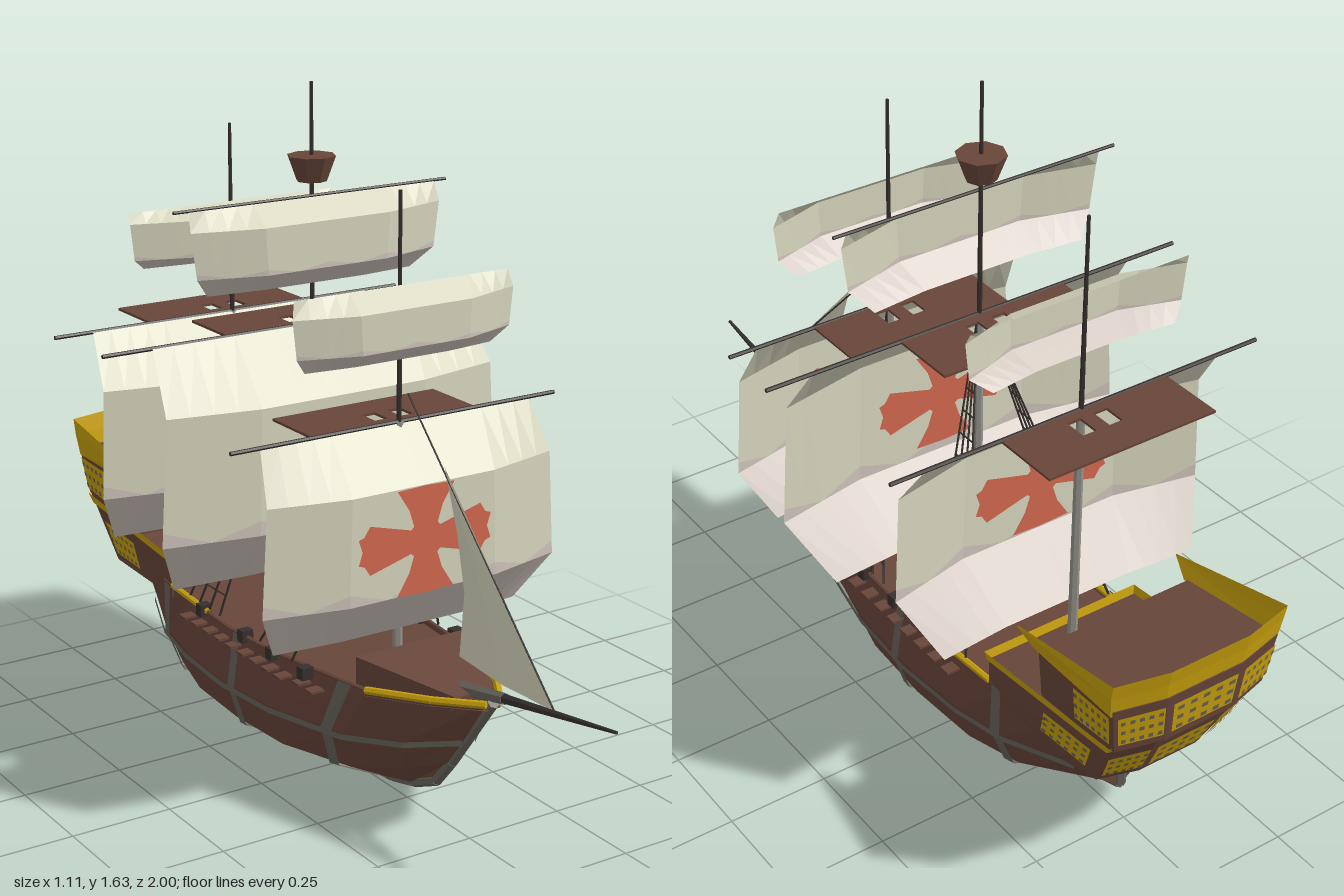
import * as THREE from 'three';

const mat = (name, color) => {
  const m = new THREE.MeshStandardMaterial({ color, side: THREE.DoubleSide, flatShading: true });
  m.name = name;
  return m;
};

export function createModel() {
  const ship = new THREE.Group();
  ship.name = 'sailingShip';
  const wood = mat('brown wood', 0x68463a), gold = mat('gold trim', 0xc9a10c);
  const canvas = mat('sail canvas', 0xd6d5bd), stain = mat('weathered canvas', 0xcec3bb);
  const red = mat('red emblem', 0xd2674e), iron = mat('grey banding', 0x68645c);
  const rope = mat('dark rope', 0x36302d), spar = mat('pale mast', 0x96938a);

  const add = (geo, m, name, parent = ship) => {
    const mesh = new THREE.Mesh(geo, m);
    mesh.name = name;
    parent.add(mesh);
    return mesh;
  };
  // Flat-shaded surface through rows of points
  const grid = rows => {
    const p = [];
    for (let i = 0; i < rows.length - 1; i++) for (let j = 0; j < rows[i].length - 1; j++) {
      const a = rows[i][j], b = rows[i][j + 1], c = rows[i + 1][j + 1], d = rows[i + 1][j];
      p.push(...a, ...b, ...c, ...a, ...c, ...d);
    }
    const g = new THREE.BufferGeometry();
    g.setAttribute('position', new THREE.Float32BufferAttribute(p, 3));
    g.computeVertexNormals();
    return g;
  };
  const lerp = (a, b, t) => a.map((v, i) => v + (b[i] - v) * t);
  const flip = rows => rows.map(r => r.map(([x, y, z]) => [-x, y, z]).reverse());
  const addBoth = (rows, m, name) => {
    add(grid(rows), m, name + 'Left');
    add(grid(flip(rows)), m, name + 'Right');
  };
  const rod = (a, b, r0, r1, m, name, parent = ship) => {
    const A = new THREE.Vector3(...a), d = new THREE.Vector3(...b).sub(A);
    const mesh = add(new THREE.CylinderGeometry(r1, r0, d.length(), 6), m, name, parent);
    mesh.position.copy(A).addScaledVector(d, 0.5);
    mesh.quaternion.setFromUnitVectors(new THREE.Vector3(0, 1, 0), d.normalize());
  };

  // Hull lines from keel to rail, each running bow to stern as [x, y, z]
  const lines = [
    [[.008, .09, .37], [.01, .05, .28], [.012, .028, .19], [.012, .014, 0], [.012, .011, -.2], [.012, .016, -.4], [.012, .03, -.55], [.01, .09, -.73]],
    [[.01, .16, .43], [.075, .125, .34], [.14, .1, .22], [.19, .085, 0], [.2, .083, -.2], [.19, .085, -.4], [.155, .095, -.55], [.06, .13, -.73]],
    [[.012, .24, .49], [.105, .22, .39], [.18, .205, .25], [.225, .19, 0], [.235, .185, -.2], [.225, .19, -.4], [.2, .2, -.55], [.13, .215, -.73]],
    [[.02, .36, .58], [.09, .348, .47], [.165, .335, .32], [.21, .325, 0], [.215, .32, -.2], [.21, .325, -.4], [.2, .33, -.55], [.17, .34, -.73]],
  ];
  const rail = lines[3];
  addBoth(lines, wood, 'hull');
  add(grid(lines.map(l => [l[7], [-l[7][0], l[7][1], l[7][2]]])), wood, 'sternWall');
  const deck = rail.map(([x, y, z]) => [x, y - .015, z]);
  add(grid([deck, deck.map(([x, y, z]) => [-x, y, z])]), wood, 'deck');

  // Keel, stem and grey bands over the planking
  const centre = [...lines.map(l => l[0]).reverse(), ...lines[0].slice(1), lines[1][7], lines[2][7]];
  for (let i = 0; i < centre.length - 1; i++) {
    const [a, b] = [centre[i], centre[i + 1]].map(([, y, z]) => [0, y, z]);
    rod(a, b, .014, .014, iron, 'keel');
  }
  const hullAt = (row, s) => {
    const j = Math.min(6, Math.floor(s));
    const p = lerp(lines[row][j], lines[row][j + 1], s - j);
    return [p[0] + .006, p[1] - (row < 2 ? .004 : 0), p[2]];
  };
  for (const s of [2.2, 3.8, 5.85]) {
    const w = s > 5 ? .1 : .07;
    addBoth([0, 1, 2, 3].map(r => [hullAt(r, s - w), hullAt(r, s + w)]), iron, 'hullRib');
  }
  addBoth([-.014, 0].map(dy => lines[2].map(([x, y, z]) => [x + .006, y + dy, z])), iron, 'wale');

  // Gold rails, port lids and rigging blocks, mirrored
  for (const s of [1, -1]) {
    const side = ([x, y, z]) => [s * x, y, z];
    rod(side(rail[0]), side(rail[1]), .009, .009, gold, 'bowRail');
    rod(side(rail[1]), side(rail[2]), .009, .009, gold, 'bowRail');
    rod([s * .212, .325, -.31], [s * .206, .332, -.5], .008, .008, gold, 'waistRail');
    for (let i = 0; i < 4; i++) rod(side(rail[i + 2]), side(rail[i + 3]), .006, .006, wood, 'rail');
    for (let i = 0; i < 11; i++) {
      const z = .18 - i * .056;
      add(new THREE.BoxGeometry(.035, .006, .03), wood, 'portLid').position.set(s * (z > .1 ? .213 : .23), .295, z);
    }
    for (const z of [.14, .0, -.13, -.33])
      add(new THREE.BoxGeometry(.03, .03, .025), rope, 'riggingBlock').position.set(s * .213, .325, z);
  }

  // Stern castle from stacked plan outlines
  const ring = (wf, zf, yf, wb, zb, yb) => [[wf, yf, zf], [wb, yb, zb + .03], [wb * .45, yb, zb],
    [-wb * .45, yb, zb], [-wb, yb, zb + .03], [-wf, yf, zf]];
  const closed = rings => grid(rings.map(r => [...r, r[0]]));
  const cap = r => grid([r.slice(0, r.length / 2), r.slice(r.length / 2).reverse()]);
  const low = [ring(.17, -.55, .2, .1, -.745, .215), ring(.207, -.5, .3, .175, -.885, .285), ring(.207, -.5, .395, .205, -.955, .435)];
  const high = [ring(.195, -.68, .4, .205, -.975, .445), ring(.208, -.68, .55, .225, -.99, .575)];
  add(closed(low), wood, 'quarterdeckWalls');
  add(cap(low[2]), wood, 'quarterdeck');
  add(closed(high), wood, 'sternCabin');
  add(cap(high[1]), wood, 'cabinDeck');
  add(closed([ring(.21, -.495, .39, .208, -.955, .43), ring(.214, -.49, .412, .215, -.97, .455)]), gold, 'quarterTrim');
  const crown = [ring(.21, -.665, .54, .227, -.985, .56), ring(.222, -.62, .575, .235, -.992, .615), ring(.222, -.62, .58, .236, -1, .655)];
  add(grid(crown), gold, 'sternRail');

  // Gold window galleries with dark panes on the castle faces
  const gallery = (a, b, c, d, u0, u1, v0, v1, n) => {
    const nrm = new THREE.Vector3().subVectors(new THREE.Vector3(...b), new THREE.Vector3(...a))
      .cross(new THREE.Vector3().subVectors(new THREE.Vector3(...d), new THREE.Vector3(...a))).normalize().toArray();
    const at = (u, v, o) => lerp(lerp(a, b, u), lerp(d, c, u), v).map((x, i) => x + nrm[i] * o);
    const patch = (p, q, r, t, o, m, name) =>
      add(grid([r, t].map(v => [0, .25, .5, .75, 1].map(k => at(p + (q - p) * k, v, o)))), m, name);
    patch(u0, u1, v0, v1, .006, gold, 'windowGallery');
    const du = (u1 - u0) / n, dv = (v1 - v0) / 3;
    for (let i = 0; i < n; i++) for (let k = 0; k < 3; k++)
      patch(u0 + du * (i + .25), u0 + du * (i + .75), v0 + dv * (k + .3), v0 + dv * (k + .7), .009, iron, 'windowPane');
  };
  for (const [r0, r1, u0, u1, v0, v1] of [[low[1], low[2], .5, .9, .2, .75], [high[0], high[1], .5, .97, .2, .85]]) {
    for (let e = 0; e < 5; e++) {
      const onSide = e === 0 || e === 4;
      const [p, q] = e === 0 ? [u0, u1] : e === 4 ? [1 - u1, 1 - u0] : [.06, .94];
      gallery(r0[e], r0[e + 1], r1[e + 1], r1[e], p, q, v0, v1, onSide ? 6 : 5);
    }
  }

  // Forecastle wedge and bowsprit
  const fc = [[[.06, .33, .51], [.165, .31, .28], [-.165, .31, .28], [-.06, .33, .51]],
    [[.05, .358, .51], [.165, .402, .28], [-.165, .402, .28], [-.05, .358, .51]]];
  add(closed(fc), wood, 'forecastle');
  add(cap(fc[1]), wood, 'forecastleDeck');
  rod([0, .345, .42], [0, .385, .62], .018, .014, iron, 'bowspritBase');
  rod([0, .385, .62], [0, .45, 1], .012, .004, rope, 'bowsprit');

  // Cross emblem: one arm pair outline with flared, notched ends
  const emblemShape = () => {
    const q = [[.032, .035], [.075, .128], [0, .128]];
    const arm = [[.04, .028], [.15, .058], [.165, .035], [.18, .03], [.17, 0]];
    const s = new THREE.Shape();
    const quarter = [[0, .128], [.077, .125], [.045, .075], q[0], ...arm];
    const right = [...quarter, ...quarter.slice(0, -1).reverse().map(([x, y]) => [x, -y])];
    const all = [...right, ...right.slice(1, -1).reverse().map(([x, y]) => [-x, y])];
    s.setFromPoints(all.map(p => new THREE.Vector2(...p)));
    return s;
  };

  // Square sail; rows top to bottom as [y, z, half width]
  const sail = (name, rows, emblem, parent) => {
    const drop = [0, .045, .045, .015], us = Array.from({ length: 17 }, (_, i) => i / 8 - 1);
    const pts = rows.map(([y, z, w], i) => us.map(u => [u * w, y, z - drop[i] * Math.max(0, Math.abs(u) * 2 - 1)]));
    const wave = us.map((u, j) => lerp(pts[2][j], pts[1][j], .06 + .06 * Math.cos(u * Math.PI * 4)));
    add(grid([wave, pts[1], pts[0]]), canvas, name, parent);
    add(grid([pts[3], pts[2], wave]), stain, name + 'Foot', parent);
    if (!emblem) return;
    for (const o of [.005, -.005])
      add(new THREE.ShapeGeometry(emblemShape()), red, name + 'Cross', parent)
        .position.set(0, (rows[1][0] + rows[2][0]) / 2, rows[1][1] + o);
  };

  // Masts, yards, platforms and square sails
  const masts = [
    { name: 'fore', z: .205, top: 1.44, yard: .91, half: .44,
      main: [[.91, .205, .365], [.79, .31, .385], [.535, .31, .4], [.415, .215, .335]],
      upper: [[1.23, .22, .285], [1.19, .275, .295], [1.1, .275, .285], [1.06, .22, .25]] },
    { name: 'main', z: -.16, top: 1.63, yard: 1.06, half: .555,
      main: [[1.06, -.155, .43], [.92, -.016, .45], [.615, -.016, .468], [.47, -.14, .39]],
      upper: [[1.365, -.145, .335], [1.32, -.085, .34], [1.21, -.085, .325], [1.16, -.15, .28]] },
    { name: 'mizzen', z: -.535, top: 1.48, yard: 1.01, half: .49,
      main: [[1.01, -.53, .39], [.885, -.4, .41], [.615, -.4, .42], [.48, -.515, .35]],
      upper: [[1.29, -.525, .285], [1.265, -.47, .29], [1.175, -.47, .28], [1.145, -.53, .24]] },
  ];
  for (const m of masts) {
    const g = new THREE.Group();
    g.name = m.name + 'Mast';
    ship.add(g);
    rod([0, .3, m.z], [0, m.yard, m.z], .012, .01, spar, 'lowerMast', g);
    rod([0, m.yard, m.z], [0, m.top, m.z], .006, .004, rope, 'topMast', g);
    rod([-m.half, m.yard, m.z], [m.half, m.yard, m.z], .005, .005, rope, 'yard', g);
    sail(m.name + 'Sail', m.main, true, g);
    sail(m.name + 'TopSail', m.upper, false, g);
    const box = (s, x0, x1, y0, y1) => s.setFromPoints([[x0, y0], [x1, y0], [x1, y1], [x0, y1]].map(p => new THREE.Vector2(...p)));
    const plate = box(new THREE.Shape(), -.23, .212, 0, .17);
    plate.holes.push(box(new THREE.Path(), -.045, -.01, .03, .085), box(new THREE.Path(), .025, .06, .03, .085));
    const p = add(new THREE.ExtrudeGeometry(plate, { depth: .006, bevelEnabled: false }), wood, 'platform', g);
    p.rotation.x = -Math.PI / 2;
    p.position.set(0, m.yard - .004, m.z);
  }
  rod([-.372, 1.367, -.15], [.372, 1.367, -.15], .004, .004, rope, 'topYard');
  add(new THREE.CylinderGeometry(.058, .036, .06, 8), wood, 'crowsNest').position.set(0, 1.43, -.16);

  // Shrouds with ratlines on both sides
  for (const [z, top, z0, z1] of [[.2, .9, .075, -.07], [-.165, 1.05, -.26, -.41]]) for (const s of [1, -1]) {
    const head = [s * .01, top, z], feet = [0, 1 / 3, 2 / 3, 1].map(t => [s * .208, .33, z0 + (z1 - z0) * t]);
    for (const f of feet) rod(f, head, .003, .002, rope, 'shroud');
    for (let i = 1; i < 13; i++) rod(lerp(feet[0], head, i / 14), lerp(feet[3], head, i / 14), .002, .002, rope, 'ratline');
  }

  // Jib and forestay
  const leech = [[0, .425, .45], [0, .58, .465], [0, .71, .435], [0, .85, .385]];
  add(grid(leech.map((p, i) => {
    const luff = lerp([0, .42, .79], [0, .855, .38], i / 3);
    const mid = lerp(luff, p, .5);
    return [luff, [-.012 * (1 - i / 3), mid[1], mid[2]], p];
  })), canvas, 'jib');
  rod([0, .42, .795], [0, .985, .24], .002, .002, rope, 'forestay');
  return ship;
}
